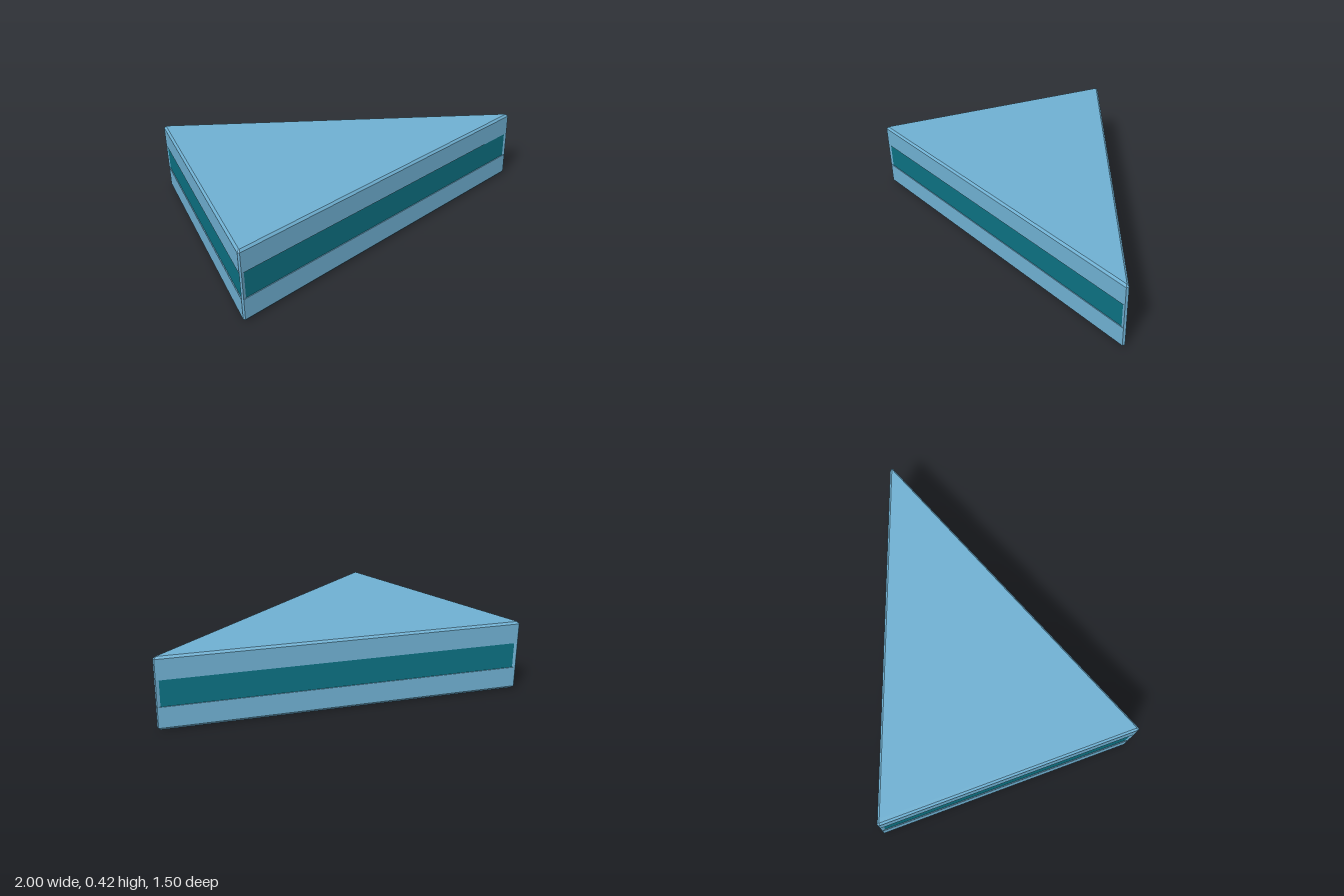
import * as THREE from 'three';

// Triangular plan with clipped corners, as [x, z]
const OUTER = [[-1, 0.745], [-0.99, 0.75], [1, 0.008], [1, -0.008], [-0.99, -0.75], [-1, -0.745]];
const INNER = [[-0.988, 0.733], [-0.984, 0.736], [0.985, 0.002], [0.985, -0.002], [-0.984, -0.736], [-0.988, -0.733]];
const MARGIN = 0.018; // distance from a corner to the end of the band
const DEPTH = 0.005; // how far the band is sunk

// Ring of 12 points: each long side gives start, band start, band end, end
function ring(plan, y, depth) {
  const points = [];
  for (const [i, j] of [[1, 2], [3, 4], [5, 0]]) {
    const p = new THREE.Vector3(plan[i][0], y, plan[i][1]);
    const q = new THREE.Vector3(plan[j][0], y, plan[j][1]);
    const along = q.clone().sub(p).normalize();
    const inward = new THREE.Vector3(along.z, 0, -along.x).multiplyScalar(depth);
    const b = p.clone().addScaledVector(along, MARGIN).add(inward);
    const c = q.clone().addScaledVector(along, -MARGIN).add(inward);
    points.push(p, b, c, q);
  }
  return points;
}

function makeMesh(name, triangles, color) {
  const geometry = new THREE.BufferGeometry().setFromPoints(triangles);
  geometry.computeVertexNormals();
  const mesh = new THREE.Mesh(geometry, new THREE.MeshStandardMaterial({ color, flatShading: true }));
  mesh.name = name;
  return mesh;
}

export function createModel() {
  const group = new THREE.Group();
  group.name = 'triangularBlock';

  // Rings from bottom to top: bevel, side, sunken band, side, bevel
  const rings = [
    ring(INNER, 0, 0), ring(OUTER, 0.014, 0),
    ring(OUTER, 0.135, 0), ring(OUTER, 0.135, DEPTH),
    ring(OUTER, 0.288, DEPTH), ring(OUTER, 0.288, 0),
    ring(OUTER, 0.406, 0), ring(INNER, 0.419, 0),
  ];
  const body = [];
  const bands = [];
  for (let r = 0; r < rings.length - 1; r++) {
    for (let i = 0; i < 12; i++) {
      const j = (i + 1) % 12;
      const [a, b, c, d] = [rings[r][i], rings[r][j], rings[r + 1][j], rings[r + 1][i]];
      const target = r === 3 && i % 4 === 1 ? bands : body;
      target.push(a, b, c, a, c, d);
    }
  }

  // Flat top and bottom
  const top = rings[rings.length - 1];
  const bottom = rings[0];
  for (let i = 1; i < 11; i++) {
    body.push(top[0], top[i], top[i + 1]);
    body.push(bottom[0], bottom[i + 1], bottom[i]);
  }

  group.add(makeMesh('body', body, 0x6fb0d2));
  group.add(makeMesh('sideBands', bands, 0x0c7182));
  return group;
}
